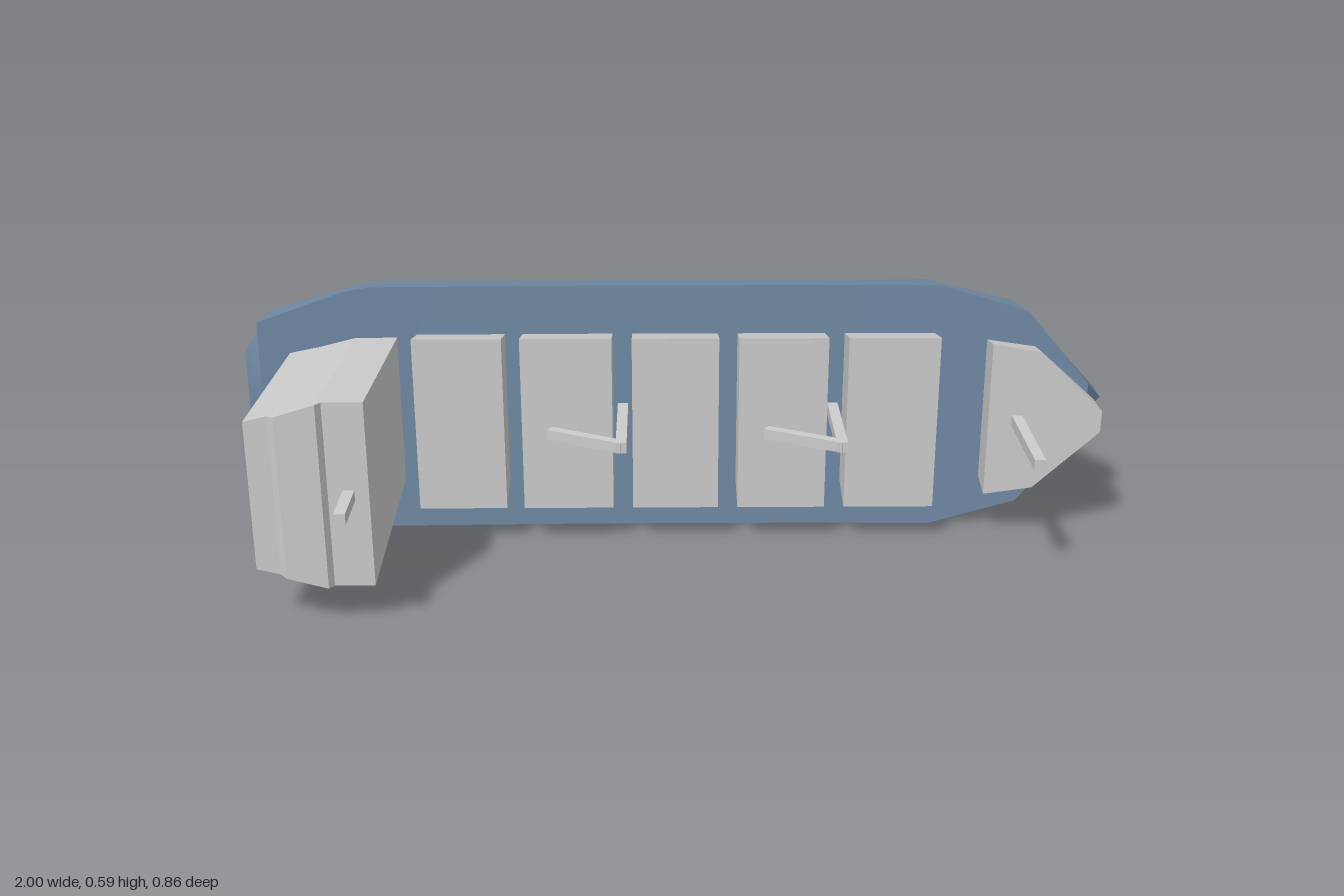
import * as THREE from 'three';
import { toCreasedNormals } from 'three/addons/utils/BufferGeometryUtils.js';

const MID = 0.295; // height of the ship's centreline (ship lies on its side, deck faces +z)
const grey = new THREE.MeshStandardMaterial({ color: 0xcccccc });
const blue = new THREE.MeshStandardMaterial({ color: 0x708aa4 });

// Skins a row of closed cross-sections running along +x and caps both ends
function loft(rings, crease) {
  const pos = [];
  const n = rings[0].length;
  const tri = (...p) => p.forEach(([x, y, z]) => pos.push(x, y + MID, z));
  for (let i = 0; i < rings.length - 1; i++) {
    for (let k = 0; k < n; k++) {
      const m = (k + 1) % n;
      const a = rings[i][k], b = rings[i][m], c = rings[i + 1][m], d = rings[i + 1][k];
      tri(a, d, c);
      tri(a, c, b);
    }
  }
  const centre = (r) => [0, 1, 2].map((j) => r.reduce((s, p) => s + p[j], 0) / n);
  const first = rings[0], last = rings[rings.length - 1];
  for (let k = 0; k < n; k++) {
    const m = (k + 1) % n;
    tri(centre(first), first[k], first[m]);
    tri(centre(last), last[m], last[k]);
  }
  const g = new THREE.BufferGeometry();
  g.setAttribute('position', new THREE.Float32BufferAttribute(pos, 3));
  return toCreasedNormals(g, crease);
}

// Superstructure block from stations [x, half width at top, top z], narrower at its foot
function block(stations, foot, base = -0.2) {
  return loft(stations.map(([x, w, z]) => [
    [x, w, z], [x, w * foot, base], [x, -w * foot, base], [x, -w, z],
  ]), 0.1);
}

function hullGeometry() {
  // Waterlines: z, stern x, bow x, width factor
  const layers = [
    [-0.19, -0.95, 0.95, 1],
    [-0.25, -1, 1, 0.945],
    [-0.32, -1, 1, 0.9],
    [-0.378, -0.97, 0.95, 0.85],
    [-0.405, -0.95, 0.93, 0.73],
    [-0.42, -0.93, 0.91, 0.58],
    [-0.43, -0.9, 0.9, 0.3],
  ];
  // Stations: x, half width; the ends follow each waterline's own length
  const stations = [
    [-9, 0], [-9, 0.125], [-0.95, 0.215], [-0.75, 0.285], [-0.69, 0.295], [-0.2, 0.295],
    [0.3, 0.295], [0.6, 0.295], [0.8, 0.235], [0.95, 0.06], [9, 0],
  ];
  const rings = stations.map(([sx, w]) => {
    const side = layers.map(([z, stern, bow, f], j) => {
      const limit = sx < 9 && j > 0 ? bow - 0.03 : bow;
      const x = Math.min(Math.max(sx, stern), limit);
      const sheer = j === 0 ? 0.018 * x * x : 0;
      return [x, w * f, z + sheer];
    });
    return [...side, ...side.map(([x, y, z]) => [x, -y, z]).reverse()];
  });
  return loft(rings, 0.5);
}

export function createModel() {
  const ship = new THREE.Group();
  ship.name = 'cargoShip';

  const add = (name, geometry, material = grey, parent = ship) => {
    const mesh = new THREE.Mesh(geometry, material);
    mesh.name = name;
    parent.add(mesh);
    return mesh;
  };
  // Square post standing on the deck
  const post = (name, x, z0, z1, parent) =>
    add(name, new THREE.BoxGeometry(0.024, 0.024, z1 - z0), grey, parent)
      .position.set(x, MID, (z0 + z1) / 2);

  add('hull', hullGeometry(), blue);

  // Cargo stacks
  [[-0.59, -0.39], [-0.35, -0.145], [-0.1, 0.095], [0.14, 0.34], [0.385, 0.59]].forEach(([a, b], i) =>
    add(`cargoStack${i + 1}`, block([[a, 0.205, -0.08], [b, 0.205, -0.08]], 0.87)));

  // Bridge tower with a raised roof band
  add('bridgeTower', block([
    [-0.88, 0.165, 0.315], [-0.83, 0.177, 0.315], [-0.815, 0.18, 0.33], [-0.73, 0.205, 0.327],
    [-0.72, 0.205, 0.312], [-0.635, 0.205, 0.312],
  ], 0.85));
  post('bridgeMast', -0.677, 0.3, 0.43);

  // Raised bow deck
  add('forecastle', block([
    [0.71, 0.183, -0.1], [0.82, 0.165, -0.095], [0.965, 0.025, -0.088],
  ], 0.92, -0.175));
  post('bowMast', 0.775, -0.15, 0.165);

  // Cranes: a post with a boom sloping back toward the deck
  [-0.123, 0.362].forEach((x, i) => {
    const crane = new THREE.Group();
    crane.name = `crane${i + 1}`;
    ship.add(crane);
    post('cranePost', x, -0.2, 0.06, crane);
    const boom = add('craneBoom', new THREE.BoxGeometry(0.185, 0.024, 0.022), grey, crane);
    boom.position.set(x - 0.079, MID, 0.011);
    boom.rotation.y = -0.46;
  });

  return ship;
}
